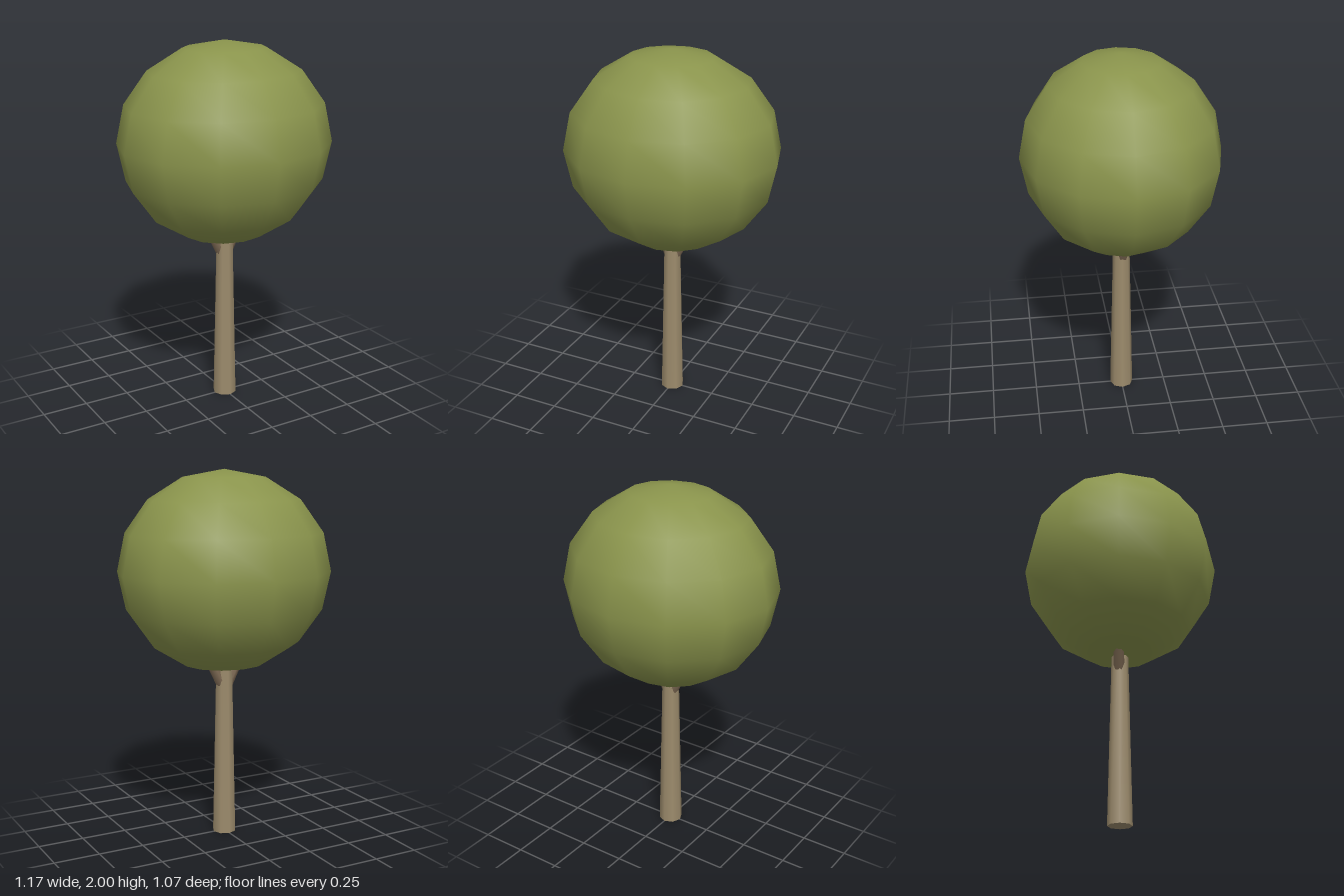
import * as THREE from 'three';

const material = (name, color) => {
  const m = new THREE.MeshStandardMaterial({ color });
  m.name = name;
  return m;
};

export function createModel() {
  const leaf = material('olive leaf', 0x8a944c);
  const bark = material('tan bark', 0x9c8b6c);
  const darkBark = material('brown bark', 0x7e6a54);

  const tree = new THREE.Group();
  tree.name = 'tree';

  const add = (name, geometry, mat) => {
    const mesh = new THREE.Mesh(geometry, mat);
    mesh.name = name;
    tree.add(mesh);
    return mesh;
  };

  // Slightly wide, coarse crown with smooth normals
  const crown = add('crown', new THREE.SphereGeometry(1, 12, 8), leaf);
  crown.scale.set(0.585, 0.54, 0.534);
  crown.position.y = 1.46;

  // Tapered trunk, running a little way into the crown
  const trunkHeight = 1.0;
  add('trunk', new THREE.CylinderGeometry(0.044, 0.065, trunkHeight, 8), bark)
    .position.y = trunkHeight / 2;

  // Two short branches forking up into the crown
  const up = new THREE.Vector3(0, 1, 0);
  for (const side of [1, -1]) {
    const start = new THREE.Vector3(side * 0.02, 0.85, -0.005);
    const end = new THREE.Vector3(side * 0.125, 1.05, -0.005);
    const along = end.clone().sub(start);
    const branch = add(
      side > 0 ? 'leftBranch' : 'rightBranch',
      new THREE.CylinderGeometry(0.026, 0.03, along.length(), 6),
      darkBark
    );
    branch.position.copy(start).add(end).multiplyScalar(0.5);
    branch.quaternion.setFromUnitVectors(up, along.normalize());
  }

  return tree;
}
